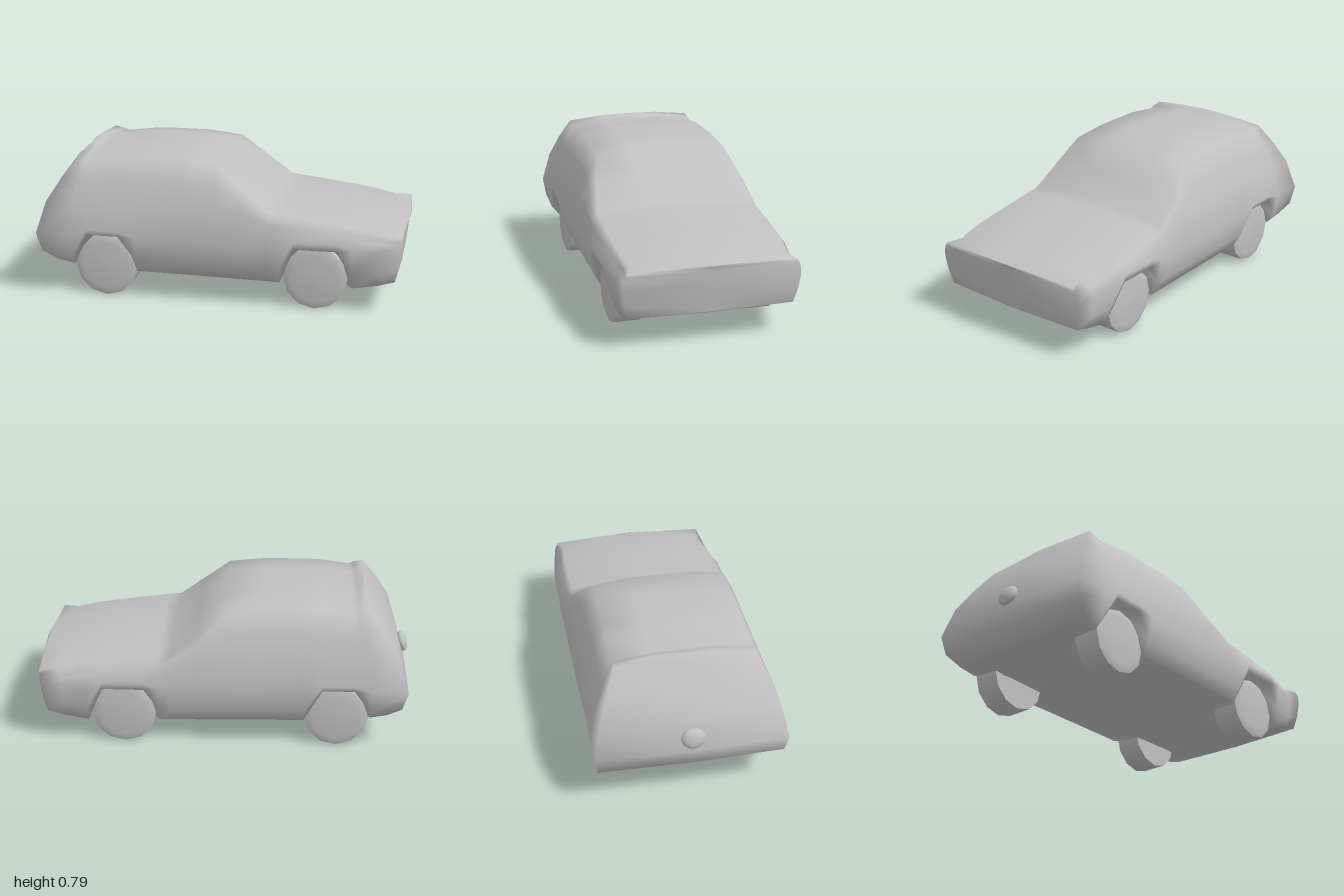
import * as THREE from 'three';

const paint = new THREE.MeshStandardMaterial({ color: 0xc0c0c0 });
paint.name = 'plain grey';

// Half cross-section, from top centre round the +z side to floor centre.
// Arched sections lift the sill over a wheel.
function section(xTop, x, top, width, floor, arch = 0) {
  const edgeZ = Math.min(0.43, 0.36 + (0.79 - top) * 0.3) * width / 0.5;
  const edgeY = top - 0.027;
  const beltY = Math.min(0.52, top - 0.075);
  const beltZ = width - 0.033;
  return [
    [xTop, top, 0],
    [xTop, top, 0.165],
    [xTop, edgeY, edgeZ],
    [(xTop + x) / 2, (edgeY + beltY) / 2, (edgeZ + beltZ) / 2 + 0.006],
    [x, beltY, beltZ],
    [x, arch ? 0.38 : 0.35, width],
    [x, arch || 0.22, arch ? width - 0.01 : width - 0.022],
    [x, arch ? arch - 0.008 : floor + 0.005, arch ? 0.41 : 0.435],
    [x, floor, 0.28],
    [x, floor, 0],
  ];
}

const tail = [
  [-0.74, 0.793, 0], [-0.742, 0.79, 0.165], [-0.76, 0.764, 0.36], [-0.84, 0.65, 0.415],
  [-0.92, 0.52, 0.463], [-0.972, 0.35, 0.5], [-0.945, 0.25, 0.485], [-0.87, 0.195, 0.45],
  [-0.86, 0.188, 0.28], [-0.86, 0.188, 0],
];
const nose = [
  [1.0, 0.428, 0], [0.998, 0.427, 0.165], [0.988, 0.418, 0.435], [0.986, 0.4, 0.445],
  [0.984, 0.375, 0.455], [0.98, 0.33, 0.46], [0.97, 0.25, 0.45], [0.957, 0.175, 0.43],
  [0.958, 0.172, 0.28], [0.96, 0.17, 0],
];

const sections = [
  tail,
  section(-0.71, -0.78, 0.78, 0.5, 0.165),
  section(-0.68, -0.69, 0.767, 0.5, 0.155, 0.352),
  section(-0.5, -0.52, 0.792, 0.5, 0.148, 0.352),
  section(-0.4, -0.425, 0.794, 0.5, 0.142),
  section(-0.2, -0.2, 0.793, 0.5, 0.14),
  section(0, 0, 0.77, 0.5, 0.137),
  section(0.145, 0.145, 0.652, 0.5, 0.134),
  section(0.29, 0.29, 0.537, 0.5, 0.132),
  section(0.35, 0.35, 0.53, 0.5, 0.13),
  section(0.44, 0.43, 0.519, 0.5, 0.13, 0.34),
  section(0.65, 0.65, 0.492, 0.498, 0.128, 0.34),
  section(0.78, 0.735, 0.475, 0.49, 0.123),
  section(0.9, 0.87, 0.45, 0.475, 0.148),
  nose,
];

// Skin the mirrored sections and close both ends with slightly bulged caps.
function bodyGeometry() {
  const points = [], index = [];
  const last = tail.length - 1, ring = last * 2;
  for (const half of sections) {
    points.push(...half.flat());
    for (let j = last - 1; j > 0; j--) points.push(half[j][0], half[j][1], -half[j][2]);
  }
  const quad = (a, b, c, d) => index.push(a, b, d, b, c, d);
  for (let i = 0; i < sections.length - 1; i++) {
    for (let j = 0; j < ring; j++) {
      const k = (j + 1) % ring, a = i * ring, b = a + ring;
      quad(a + j, a + k, b + k, b + j);
    }
  }
  for (const [i, dir] of [[0, -1], [sections.length - 1, 1]]) {
    const base = i * ring, centre = [base];
    for (let j = 1; j < last; j++) {
      centre.push(points.length / 3);
      const [x, y] = sections[i][j];
      points.push(x + dir * 0.012, y, 0);
    }
    centre.push(base + last);
    for (let j = 0; j < last; j++) {
      const l0 = base + j, l1 = l0 + 1;
      const r0 = base + (ring - j) % ring, r1 = base + ring - j - 1;
      const c0 = centre[j], c1 = centre[j + 1];
      if (dir > 0) {
        quad(c0, l0, l1, c1);
        quad(r0, c0, c1, r1);
      } else {
        quad(l0, c0, c1, l1);
        quad(c0, r0, r1, c1);
      }
    }
  }
  const geometry = new THREE.BufferGeometry();
  geometry.setAttribute('position', new THREE.Float32BufferAttribute(points, 3));
  geometry.setIndex(index);
  geometry.computeVertexNormals();
  return geometry;
}

function part(geometry, name) {
  const mesh = new THREE.Mesh(geometry, paint);
  mesh.name = name;
  return mesh;
}

// Twelve-sided wheel with a shallow domed outer face
function wheel(x, side, name) {
  const group = new THREE.Group();
  group.name = name;
  const tyre = part(new THREE.CylinderGeometry(0.17, 0.17, 0.145, 12).rotateX(Math.PI / 2), 'tyre');
  tyre.position.z = 0.3575;
  const dome = [[0.17, 0.43], [0.13, 0.445], [0, 0.447]].map(([r, y]) => new THREE.Vector2(r, y));
  const face = part(new THREE.LatheGeometry(dome, 12).rotateX(Math.PI / 2), 'wheelFace');
  group.add(tyre, face);
  group.position.set(x, 0.17, 0);
  if (side < 0) group.rotation.y = Math.PI;
  return group;
}

export function createModel() {
  const car = new THREE.Group();
  car.name = 'car';
  car.add(part(bodyGeometry(), 'body'));

  for (const [x, end] of [[-0.6, 'rear'], [0.54, 'front']]) {
    for (const side of [1, -1]) car.add(wheel(x, side, end + 'Wheel'));
  }

  // Round knob on the tailgate
  const knob = part(new THREE.SphereGeometry(1, 20, 14), 'tailgateKnob');
  knob.scale.set(0.028, 0.056, 0.062);
  knob.position.set(-0.972, 0.425, 0);
  knob.rotation.z = -0.25;
  car.add(knob);
  return car;
}
